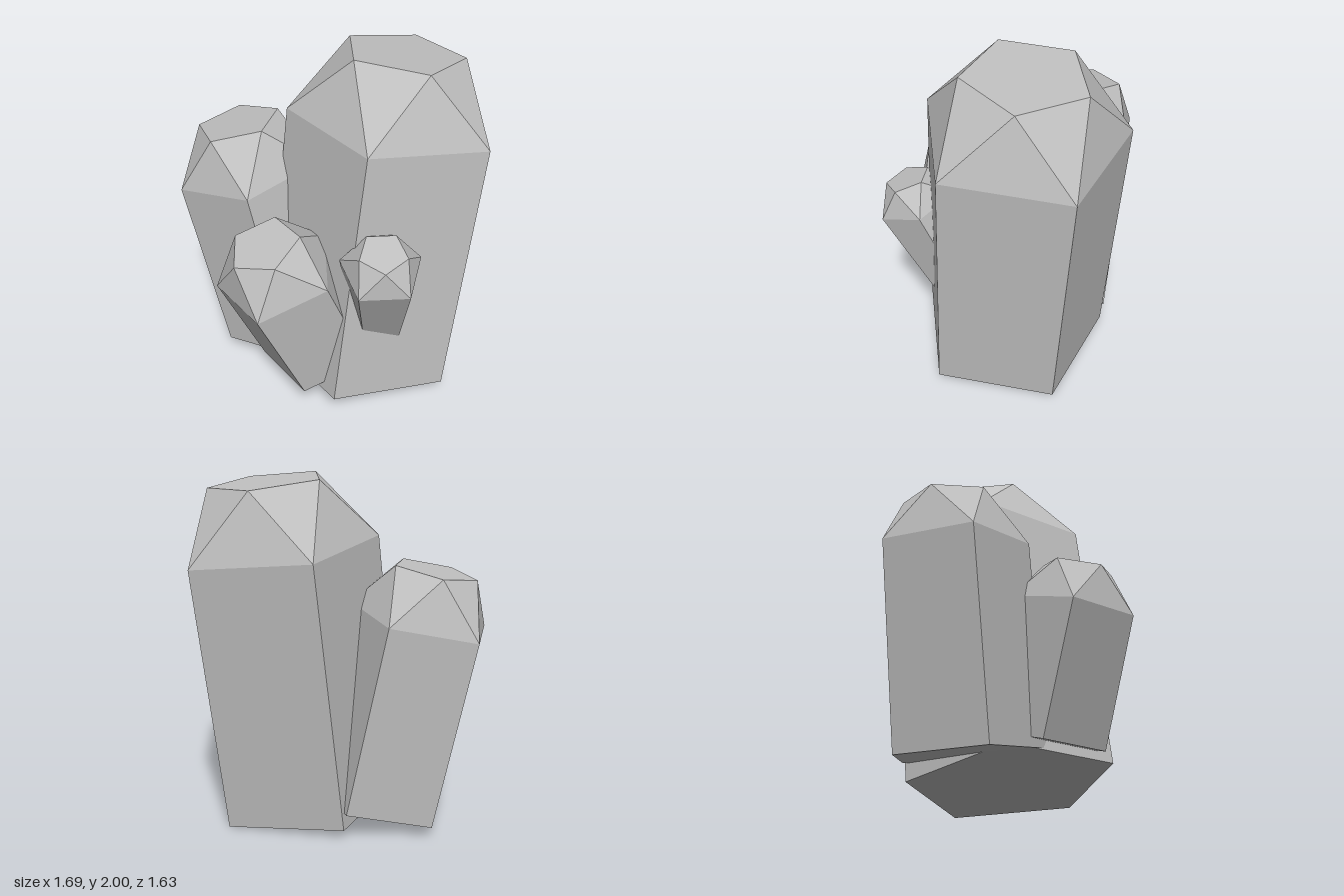
import * as THREE from 'three';

const V = (a) => new THREE.Vector3(...a);

// Pentagonal crystal: a straight shaft, a faceted shoulder and a flat top.
// `up` is the facing of the rings, `tip` the direction of one top corner.
function crystal({ name, radius, baseRadius = radius, base, shoulder, cap, up, tip }, material) {
  const u = V(up).normalize();
  const t = V(tip).projectOnPlane(u).normalize();
  const s = new THREE.Vector3().crossVectors(u, t);
  const ring = (center, r, turn) => Array.from({ length: 5 }, (_, i) => {
    const a = ((i + turn) * Math.PI * 2) / 5;
    return center.clone().addScaledVector(t, r * Math.cos(a)).addScaledVector(s, r * Math.sin(a));
  });

  const foot = ring(V(base), baseRadius, -0.5);
  const waist = ring(V(shoulder), radius, -0.5);
  const crown = ring(V(shoulder).addScaledVector(u, cap), radius * 0.58, 0);

  const points = [];
  for (let i = 0; i < 5; i++) {
    const j = (i + 1) % 5;
    points.push(foot[i], foot[j], waist[j], foot[i], waist[j], waist[i]); // shaft
    points.push(waist[i], waist[j], crown[i], crown[i], waist[j], crown[j]); // shoulder
  }
  for (let i = 1; i < 4; i++) {
    points.push(crown[0], crown[i], crown[i + 1]); // top
    points.push(foot[0], foot[i + 1], foot[i]); // underside
  }

  const geometry = new THREE.BufferGeometry().setFromPoints(points);
  geometry.computeVertexNormals();
  const mesh = new THREE.Mesh(geometry, material);
  mesh.name = name;
  return mesh;
}

export function createModel() {
  const stone = new THREE.MeshStandardMaterial({ color: 0xbfbfbf });
  stone.name = 'grey stone';

  const group = new THREE.Group();
  group.name = 'crystalCluster';
  const crystals = [
    { name: 'mainCrystal', radius: 0.58, base: [0.17, 0.08, -0.035], shoulder: [0.17, 1.59, -0.245],
      cap: 0.37, up: [0, 0.991, -0.136], tip: [0, 0, 1] },
    { name: 'rightCrystal', radius: 0.418, base: [-0.26, 0.13, 0.18], shoulder: [-0.44, 1.2, 0.31],
      cap: 0.285, up: [-0.165, 0.979, 0.119], tip: [-0.774, -0.203, 0.597] },
    { name: 'frontCrystal', radius: 0.34, base: [0.17, 0.247, 0.274], shoulder: [0.17, 0.907, 0.554],
      cap: 0.23, up: [0, 0.949, 0.316], tip: [0, 0, 1] },
    { name: 'leftSmallCrystal', radius: 0.226, baseRadius: 0.135, base: [0.354, 0.24, -0.023],
      shoulder: [0.622, 1.039, 0.203], cap: 0.15, up: [0.264, 0.948, 0.179], tip: [0.78, -0.32, 0.53] },
  ];
  for (const c of crystals) group.add(crystal(c, stone));
  return group;
}
